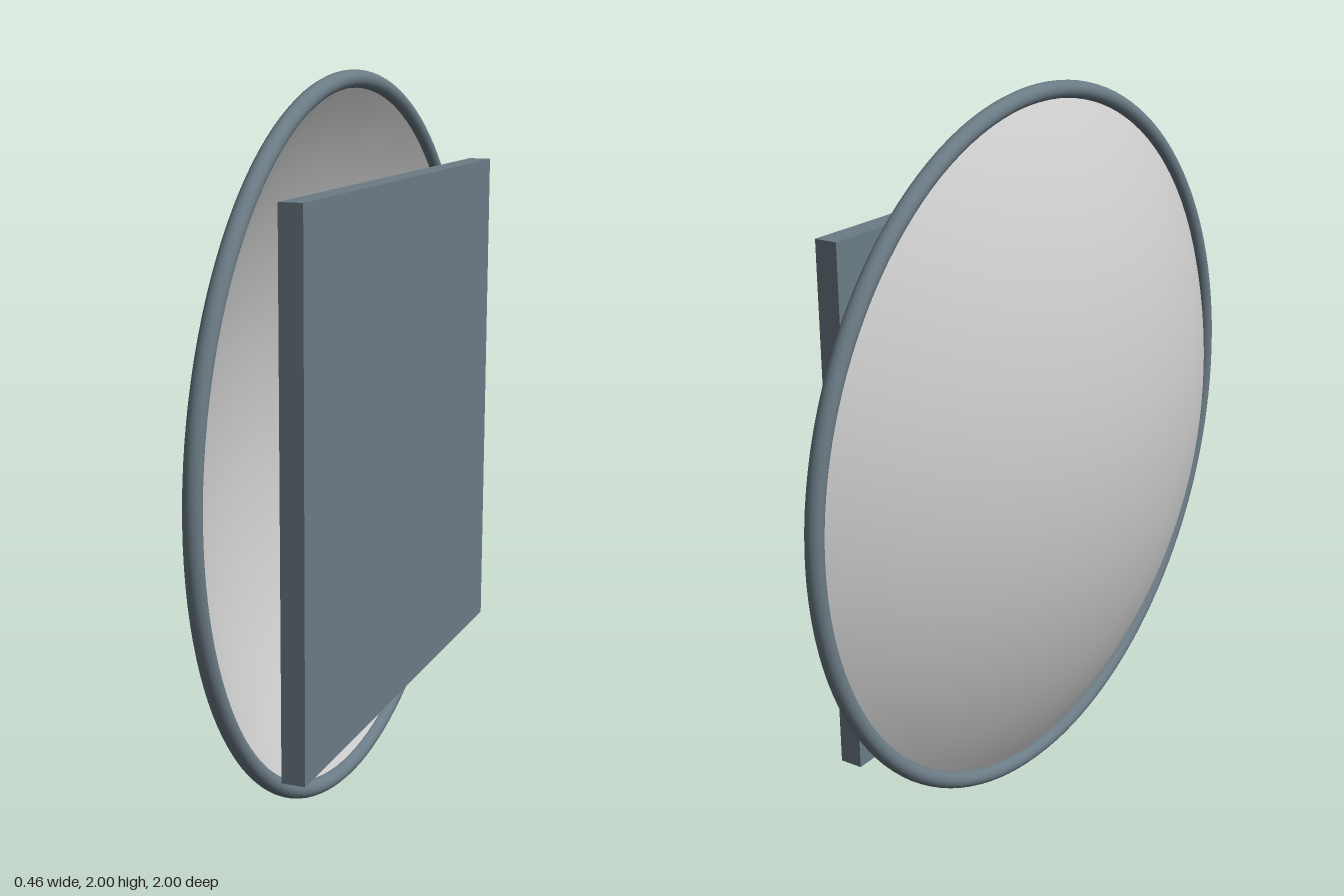
import * as THREE from 'three';

export function createModel() {
  const group = new THREE.Group();
  const grey = new THREE.MeshStandardMaterial({ color: 0xcccccc, side: THREE.DoubleSide });
  const slate = new THREE.MeshStandardMaterial({ color: 0x6b7b85 });

  function add(name, geometry, material, x) {
    const mesh = new THREE.Mesh(geometry, material);
    mesh.name = name;
    mesh.position.set(x, 1, 0);
    group.add(mesh);
    return mesh;
  }

  // Shallow spherical dish, bulging towards -x
  const edgeRadius = 0.955, depth = 0.29;
  const sphereRadius = (edgeRadius ** 2 + depth ** 2) / (2 * depth);
  const maxAngle = Math.asin(edgeRadius / sphereRadius);
  const profile = [];
  for (let i = 0; i <= 24; i++) {
    const a = (maxAngle * i) / 24;
    profile.push(new THREE.Vector2(sphereRadius * Math.sin(a), sphereRadius * (1 - Math.cos(a))));
  }
  const dishGeometry = new THREE.LatheGeometry(profile, 96);
  dishGeometry.rotateZ(-Math.PI / 2);
  add('dish', dishGeometry, grey, -0.23);

  // Round rim around the open edge
  const rimGeometry = new THREE.TorusGeometry(0.976, 0.024, 20, 128);
  rimGeometry.rotateY(Math.PI / 2);
  add('rim', rimGeometry, slate, 0.06);

  // Square plate standing in front of the opening
  add('plate', new THREE.BoxGeometry(0.064, 1.44, 1.44), slate, 0.196);

  return group;
}
